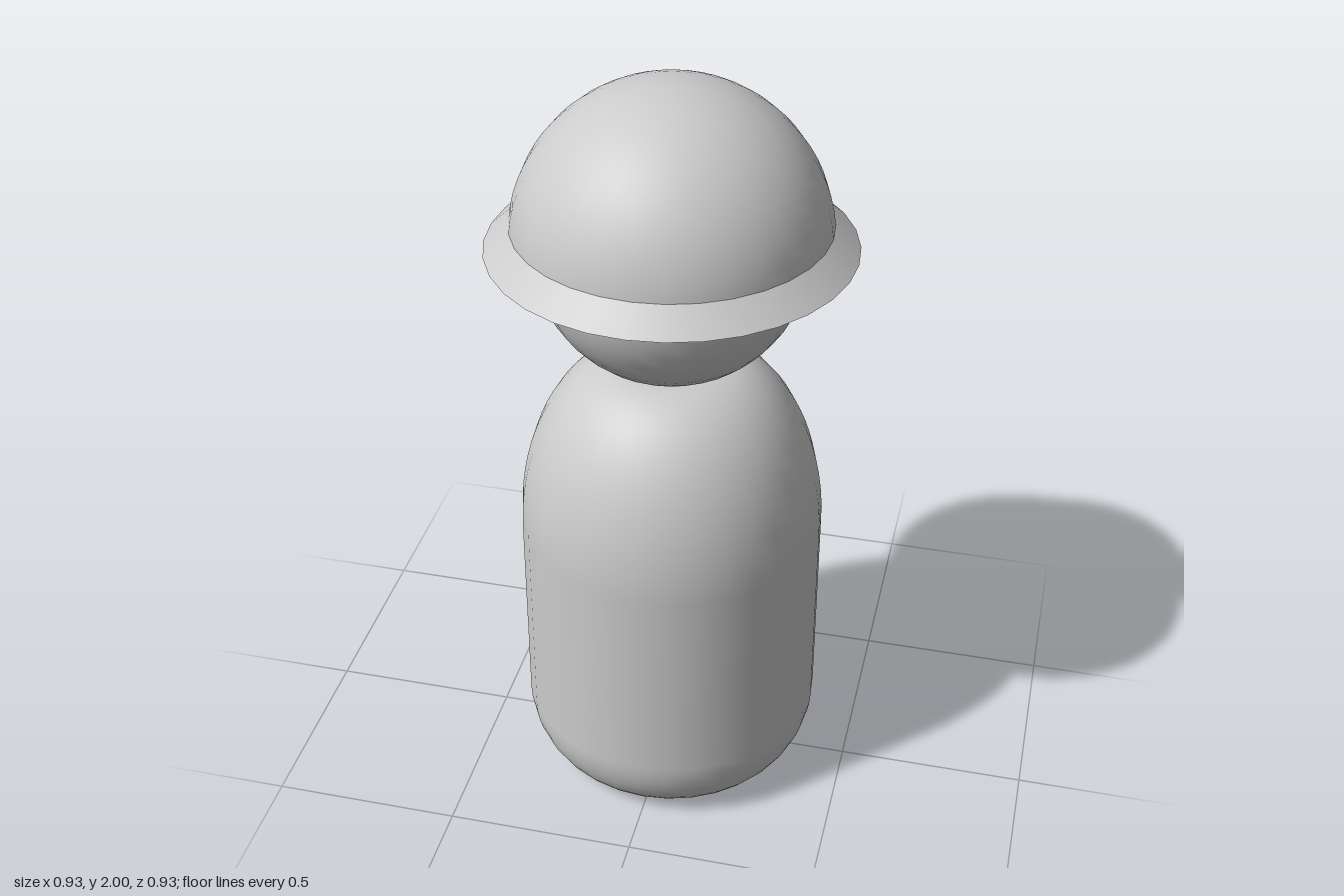
import * as THREE from 'three';

const SIDES = 32;

export function createModel() {
  const group = new THREE.Group();
  const material = new THREE.MeshStandardMaterial({ color: 0xcccccc });
  const thin = new THREE.MeshStandardMaterial({ color: 0xcccccc, side: THREE.DoubleSide });

  const add = (name, geometry, mat, y = 0) => {
    const mesh = new THREE.Mesh(geometry, mat);
    mesh.name = name;
    mesh.position.y = y;
    group.add(mesh);
  };

  // Body: flat base, rounded lower edge, straight sides, elliptical shoulders
  const arc = (x, y, rx, ry, from, to, steps) =>
    Array.from({ length: steps + 1 }, (_, i) => {
      const a = from + ((to - from) * i) / steps;
      return new THREE.Vector2(x + rx * Math.cos(a), y + ry * Math.sin(a));
    });
  const profile = [
    new THREE.Vector2(0, 0),
    ...arc(0.26, 0.2, 0.14, 0.2, -Math.PI / 2, 0, 10),
    ...arc(0.12, 0.76, 0.28, 0.485, 0, Math.PI / 2, 16),
    new THREE.Vector2(0, 1.245),
  ];
  add('body', new THREE.LatheGeometry(profile, SIDES), material);

  // Head
  add('head', new THREE.SphereGeometry(0.347, SIDES, 24), material, 1.575);

  // Hat: open dome with a thin sloping brim
  const domeAngle = Math.acos(0.04 / 0.4);
  add('hatDome', new THREE.SphereGeometry(0.4, SIDES, 16, 0, Math.PI * 2, 0, domeAngle), thin, 1.6);
  add('hatBrim', new THREE.CylinderGeometry(0.394, 0.463, 0.064, SIDES, 1, true), thin, 1.61);

  return group;
}
